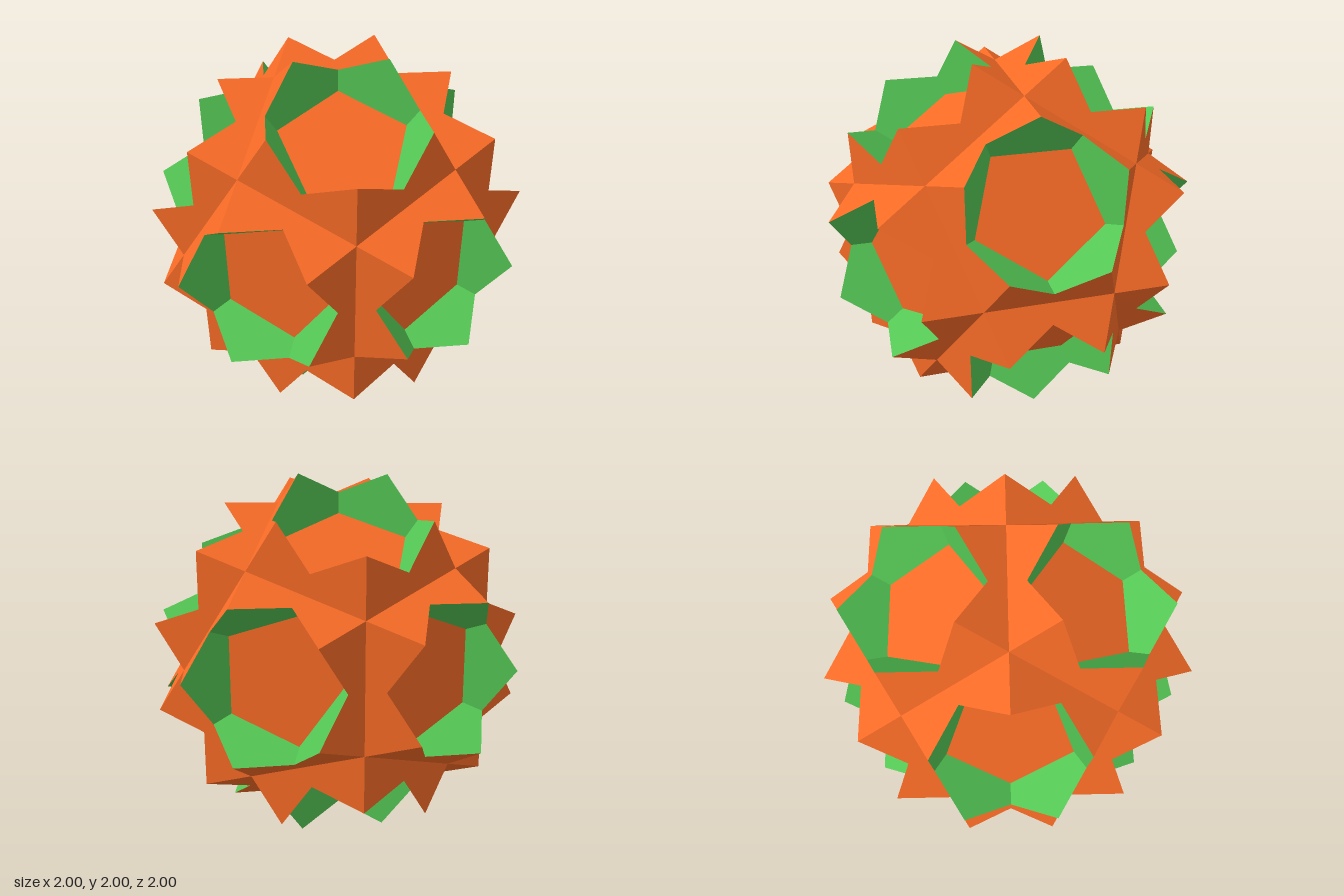
import * as THREE from 'three';

const PHI = (1 + Math.sqrt(5)) / 2;
const SCALE = 1 / PHI ** 3; // brings the farthest corner to 1 unit from the centre

// Flat polygon whose corners cycle through the given radii, starting at angle `start`
function polygon(count, radii, start) {
  const points = [];
  for (let i = 0; i < count; i++) {
    const a = start + (i / count) * Math.PI * 2;
    const r = radii[i % radii.length] * SCALE;
    points.push(new THREE.Vector2(r * Math.cos(a), r * Math.sin(a)));
  }
  return new THREE.ShapeGeometry(new THREE.Shape(points));
}

export function createModel() {
  const model = new THREE.Group();
  model.name = 'starPolyhedron';

  const orange = new THREE.MeshStandardMaterial({ color: 0xf56a26, side: THREE.DoubleSide });
  const green = new THREE.MeshStandardMaterial({ color: 0x54c654, side: THREE.DoubleSide });

  // Ten-pointed star: every third corner of a decagon joined, filled to its outline
  const starR = 2 * PHI;
  const notchR = starR * Math.cos(Math.PI * 0.3) / Math.cos(Math.PI * 0.2);
  const starGeo = polygon(20, [starR, notchR], Math.PI / 10);
  const axisLength = Math.hypot(1, PHI);
  const starHeight = (PHI ** 3 + PHI) / axisLength * SCALE;

  // Large pentagon passing close to the centre, sharing its edges with the stars
  const pentHeight = 1 / PHI / axisLength * SCALE;
  const pentR = Math.sqrt(2 + PHI ** 6 - (1 / PHI / axisLength) ** 2);
  const pentGeo = polygon(5, [pentR], Math.PI);

  // One star and one pentagon across each of the twelve five-fold axes
  for (let turn = 0; turn < 3; turn++) {
    const cycle = (x, y, z) => {
      const c = [x, y, z];
      return new THREE.Vector3(c[(3 - turn) % 3], c[(4 - turn) % 3], c[(5 - turn) % 3]).normalize();
    };
    for (const s of [1, -1]) {
      for (const t of [1, -1]) {
        const n = cycle(s, 0, t * PHI);
        const u = cycle(s * PHI, 0, -t);
        const v = new THREE.Vector3().crossVectors(n, u);
        const basis = new THREE.Matrix4().makeBasis(u, v, n);

        const addFace = (name, geometry, material, height) => {
          const face = new THREE.Mesh(geometry, material);
          face.name = name;
          face.quaternion.setFromRotationMatrix(basis);
          face.position.copy(n).multiplyScalar(height);
          face.position.y += 1;
          model.add(face);
        };
        addFace('starFace', starGeo, orange, starHeight);
        addFace('pentagonFace', pentGeo, green, pentHeight);
      }
    }
  }
  return model;
}
